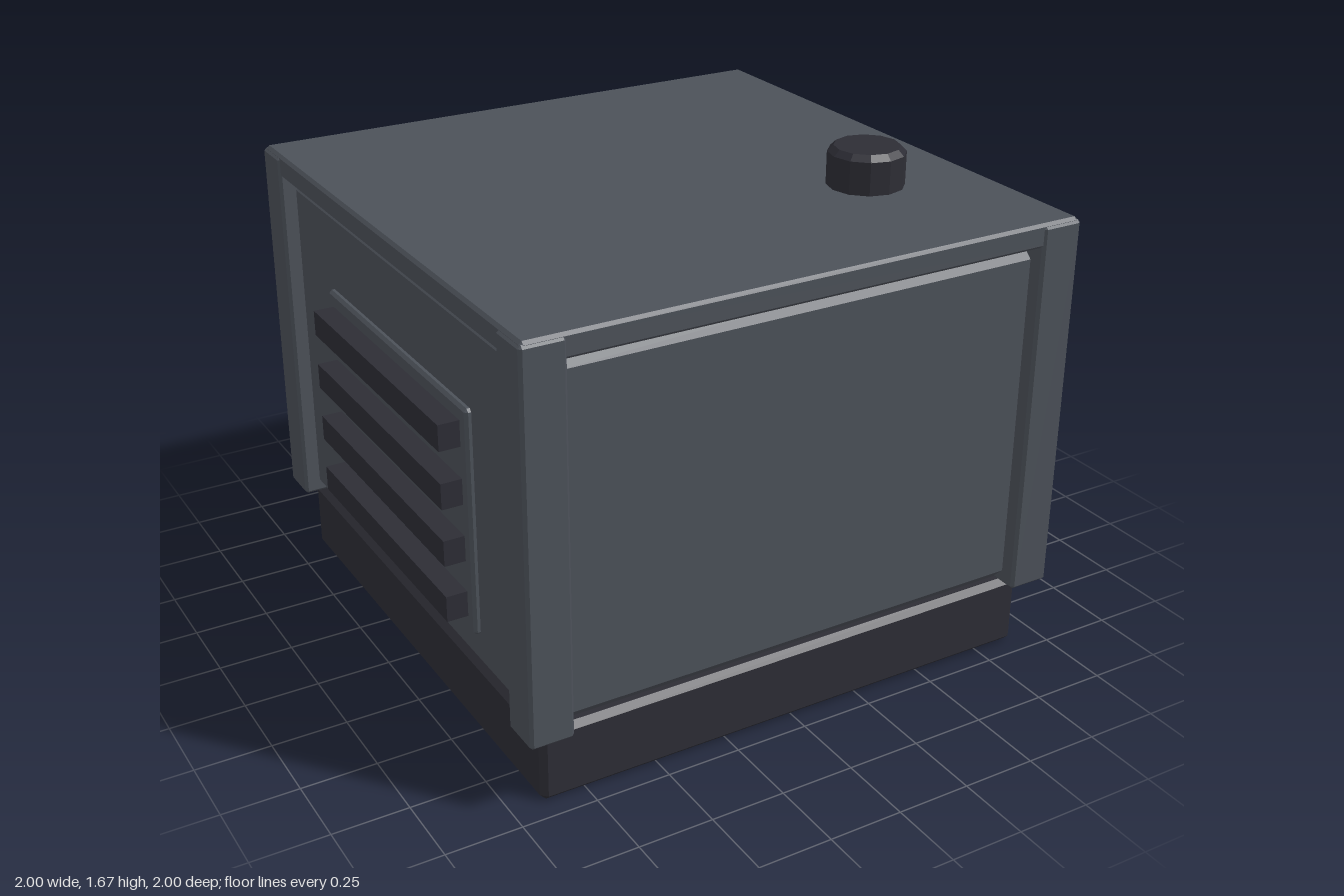
import * as THREE from 'three';
import { ConvexGeometry } from 'three/addons/geometries/ConvexGeometry.js';

const mat = (name, color) => Object.assign(new THREE.MeshStandardMaterial({ color }), { name });

// Box with 45 degree chamfers, hull of its 24 corner points
function chamferBox(w, h, d, c) {
  const pts = [];
  for (const x of [-1, 1]) for (const y of [-1, 1]) for (const z of [-1, 1]) {
    for (let keep = 0; keep < 3; keep++) {
      const inset = [0, 1, 2].map(i => (i === keep ? 0 : c));
      pts.push(new THREE.Vector3(
        x * (w / 2 - inset[0]), y * (h / 2 - inset[1]), z * (d / 2 - inset[2])));
    }
  }
  return new ConvexGeometry(pts);
}

export function createModel() {
  const model = new THREE.Group();
  model.name = 'controlCabinet';
  const body = mat('slateGrey', 0x4c5159);
  const dark = mat('charcoal', 0x2d2d35);
  const blue = mat('displayBlue', 0x2e72b2);
  const green = mat('lampGreen', 0x3cb44a);

  const add = (name, geometry, material, x, y, z) => {
    const mesh = new THREE.Mesh(geometry, material);
    mesh.name = name;
    mesh.position.set(x, y, z);
    model.add(mesh);
    return mesh;
  };
  const CZ = 0.025; // cabinet centre in z

  // Plinth, inner body and roof
  add('base', chamferBox(1.8, 0.25, 1.82, 0.02), dark, 0, 0.125, CZ);
  add('innerBody', chamferBox(1.82, 1.21, 1.84, 0.05), body, 0, 0.855, CZ);
  add('roof', chamferBox(1.916, 0.08, 1.936, 0.01), body, 0, 1.5, CZ);

  // Corner posts
  const post = chamferBox(0.145, 1.28, 0.145, 0.01);
  for (const sx of [-1, 1]) for (const sz of [-1, 1])
    add('cornerPost', post, body, sx * 0.8925, 0.892, CZ + sz * 0.9025);

  // Side vents: raised plate with four slats
  const plate = chamferBox(0.05, 0.765, 1.07, 0.01);
  const slat = new THREE.BoxGeometry(0.1, 0.087, 0.985);
  for (const s of [-1, 1]) {
    add('ventPlate', plate, body, s * 0.905, 0.773, CZ);
    for (let i = 0; i < 4; i++)
      add('ventSlat', slat, dark, s * 0.95, 0.485 + i * 0.193, CZ);
  }

  // Roof cap with a chamfered rim
  const capProfile = [[0, 0], [0.128, 0], [0.128, 0.11], [0.108, 0.13], [0, 0.13]]
    .map(p => new THREE.Vector2(...p));
  const cap = new THREE.LatheGeometry(capProfile, 12).toNonIndexed();
  cap.computeVertexNormals();
  add('roofCap', cap, dark, 0.575, 1.54, 0.41);

  // Rear display
  add('displayFrame', chamferBox(1.31, 0.615, 0.11, 0.02), dark, 0, 0.96, -0.93);
  add('displayScreen', new THREE.BoxGeometry(1.16, 0.46, 0.02), blue, 0, 0.96, -0.99);

  // Rear row of buttons, the first one blue
  const button = new THREE.CylinderGeometry(0.034, 0.034, 0.1, 10).toNonIndexed();
  button.computeVertexNormals();
  button.rotateX(Math.PI / 2);
  for (let i = 0; i < 5; i++)
    add('button', button, i === 0 ? blue : green, 0.6 - i * 0.3, 0.388, -0.916);

  return model;
}
